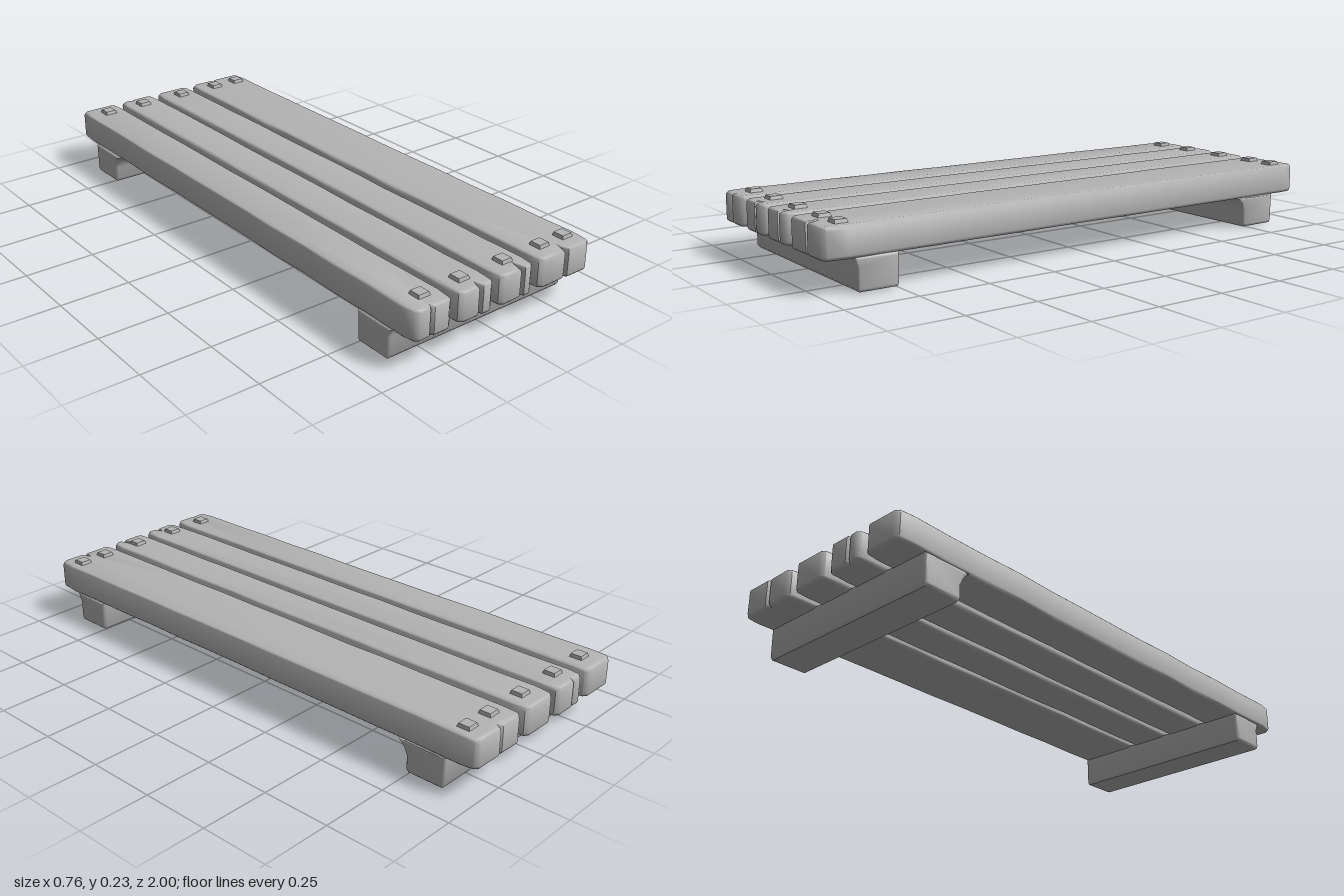
import * as THREE from 'three';
import { toCreasedNormals } from 'three/addons/utils/BufferGeometryUtils.js';

const wood = new THREE.MeshStandardMaterial({ color: 0xb4b4b4 });
wood.name = 'worn grey wood';

// Small seeded generator for the hewn edges
function seeded(seed) {
  return () => {
    seed = (seed * 16807) % 2147483647;
    return seed / 2147483647;
  };
}

// Extrude an outline with an inset rounded bevel; the outline keeps its full size
function hewn(points, height, bevel) {
  const shape = new THREE.Shape(points.map(([x, y]) => new THREE.Vector2(x, y)));
  const geo = new THREE.ExtrudeGeometry(shape, {
    depth: height - 2 * bevel, bevelEnabled: true, bevelThickness: bevel,
    bevelSize: bevel, bevelOffset: -bevel, bevelSegments: 3,
  });
  geo.translate(0, 0, bevel);
  return geo;
}

function mesh(name, geo) {
  const m = new THREE.Mesh(toCreasedNormals(geo, 0.8), wood);
  m.name = name;
  return m;
}

// Plank outline seen from above: wavy long sides, clipped corners, split ends
function makePlank(name, x0, x1, cracks, seed) {
  const rand = seeded(seed);
  const c = 0.015;
  const steps = 12;
  const end = (s) => [
    [x0 + c * 0.5, 0.985 * s], [x0 + c * 1.6, 0.998 * s],
    ...cracks.filter((k) => k[1] === s).flatMap(([x, , d]) => [
      [x - 0.008, 0.996 * s], [x, (1 - d) * s], [x + 0.008, 0.998 * s],
    ]),
    [x1 - c * 1.6, 0.998 * s], [x1 - c * 0.5, 0.985 * s],
  ];
  const side = (x, inward) => {
    const pts = [];
    for (let i = 0; i <= steps; i++) {
      const y = -0.93 + (1.86 * i) / steps;
      pts.push([x + inward * 0.005 * rand(), y + 0.03 * (rand() - 0.5)]);
    }
    return pts;
  };
  // Shape y is -z, so s = -1 is the front end
  const outline = [
    ...end(-1), ...side(x1, -1), ...end(1).reverse(), ...side(x0, 1).reverse(),
  ];
  const geo = hewn(outline, 0.106, 0.013);
  geo.rotateX(-Math.PI / 2);
  geo.translate(0, 0.11, 0);
  return mesh(name, geo);
}

// Crossbar under the planks, its profile given as [z, y]
function makeCrossbar(name, profile) {
  const geo = hewn(profile, 0.756, 0.012);
  geo.rotateY(-Math.PI / 2);
  geo.translate(0.376, 0, 0);
  return mesh(name, geo);
}

// Square peg with a tapered head
function makePeg(x, z) {
  const geo = new THREE.CylinderGeometry(0.028, 0.036, 0.022, 4).toNonIndexed();
  geo.rotateY(Math.PI / 4);
  const m = mesh('peg', geo);
  m.position.set(x, 0.217, z);
  return m;
}

export function createModel() {
  const model = new THREE.Group();
  model.name = 'slattedPlatform';

  // Planks: name, x range, cracks as [x, end, depth], seed
  [
    ['firstPlank', -0.38, -0.222, [[-0.31, -1, 0.012]], 11],
    ['secondPlank', -0.205, -0.051, [[-0.113, -1, 0.03], [-0.15, 1, 0.012]], 29],
    ['thirdPlank', -0.035, 0.12, [[0.065, -1, 0.045]], 47],
    ['widePlank', 0.138, 0.379, [[0.262, -1, 0.035], [0.25, 1, 0.015]], 83],
  ].forEach((p) => model.add(makePlank(...p)));

  // Crossbars: straight outside, flaring inwards under the planks
  model.add(makeCrossbar('frontCrossbar', [
    [0.75, 0.002], [0.878, 0.002], [0.886, 0.012], [0.886, 0.08],
    [0.9, 0.114], [0.742, 0.114], [0.744, 0.012],
  ]));
  model.add(makeCrossbar('backCrossbar', [
    [-0.876, 0], [-0.745, 0], [-0.737, 0.012], [-0.737, 0.06],
    [-0.722, 0.09], [-0.7, 0.114], [-0.886, 0.114], [-0.884, 0.01],
  ]));

  // Pegs along both ends, two in the wide plank
  const pegs = new THREE.Group();
  pegs.name = 'pegs';
  [-0.295, -0.135, 0.048, 0.215, 0.322].forEach((x) => {
    pegs.add(makePeg(x, 0.922), makePeg(x, -0.922));
  });
  model.add(pegs);

  return model;
}
